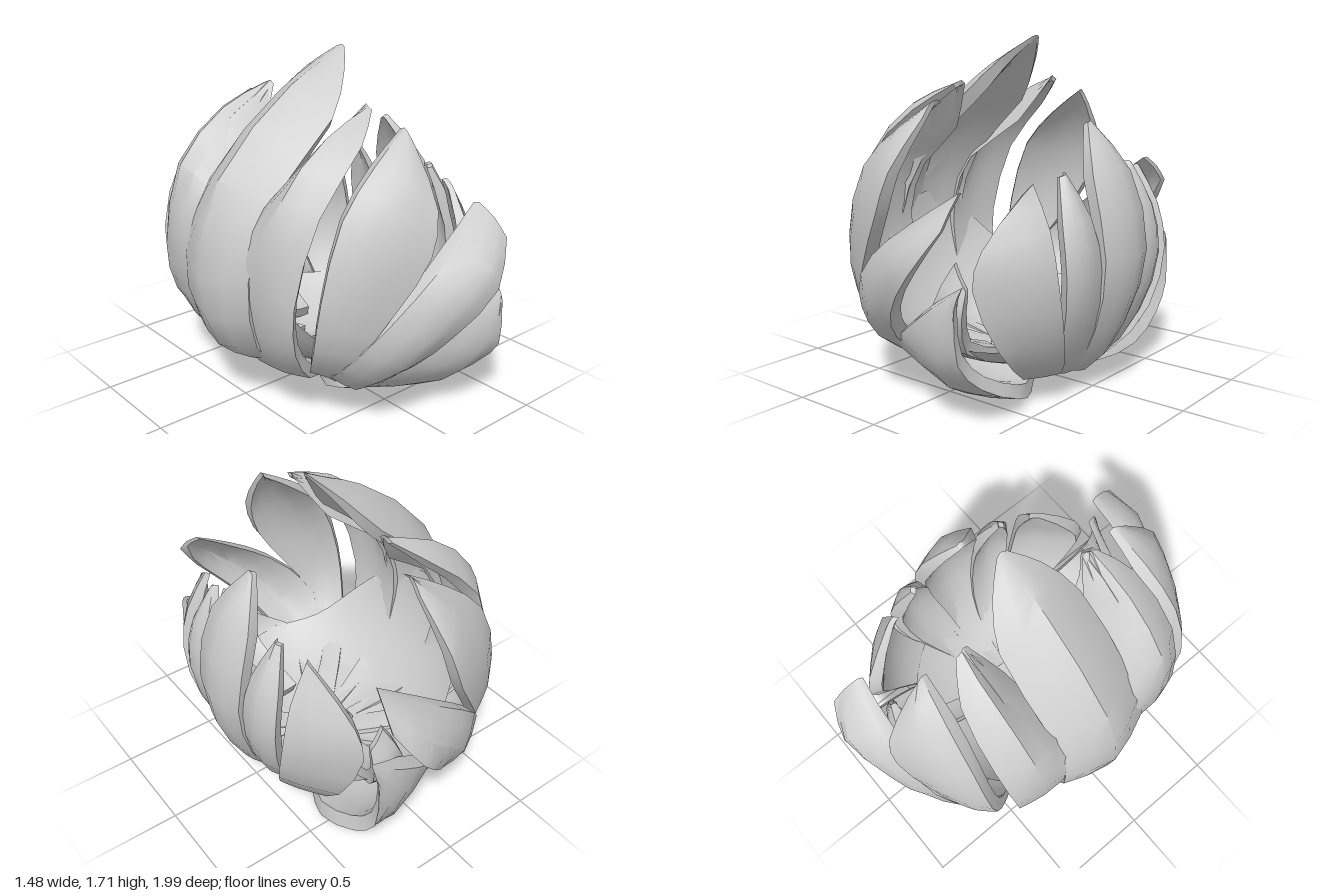
import * as THREE from 'three';
import { toCreasedNormals } from 'three/addons/utils/BufferGeometryUtils.js';

const CORE = new THREE.Vector3(0, 0.8, 0);
const ACROSS = 4;
const THICK = 0.07;

const curve = pts => new THREE.CatmullRomCurve3(pts.map(p => new THREE.Vector3(...p)));
const flipZ = pts => pts.map(([x, y, z]) => [x, y, -z]);

function makeMesh(name, pos, index) {
  const geo = new THREE.BufferGeometry();
  geo.setAttribute('position', new THREE.Float32BufferAttribute(pos, 3));
  geo.setIndex(index);
  const mesh = new THREE.Mesh(
    toCreasedNormals(geo, 0.7),
    new THREE.MeshStandardMaterial({ color: 0xcccccc, side: THREE.DoubleSide })
  );
  mesh.name = name;
  return mesh;
}

// A thick curved petal spanned by its left edge, spine and right edge, base to tip.
function petal(name, left, spine, right) {
  const rails = [left, spine, right].map(curve);
  const rows = (spine.length - 1) * 2;
  const ring = 2 * (ACROSS + 1);
  const pos = [], index = [];
  for (let k = 0; k <= rows; k++) {
    const t = k / rows;
    const section = new THREE.CatmullRomCurve3(rails.map(r => r.getPoint(t)));
    const outer = [], inner = [];
    for (let j = 0; j <= ACROSS; j++) {
      const p = section.getPoint(j / ACROSS);
      const depth = THICK * (t > 0.8 ? 1 - (t - 0.8) * 3 : 1);
      const inward = CORE.clone().sub(p).setY((CORE.y - p.y) * (p.y > CORE.y ? 0.4 : 1)).normalize();
      outer.push(p);
      inner.unshift(p.clone().addScaledVector(inward, depth));
    }
    for (const p of [...outer, ...inner]) pos.push(p.x, p.y, p.z);
  }
  for (let k = 0; k < rows; k++) {
    for (let j = 0; j < ring; j++) {
      const a = k * ring + j, b = k * ring + (j + 1) % ring;
      index.push(a, b, b + ring, a, b + ring, a + ring);
    }
  }
  // end caps
  const top = rows * ring;
  for (let j = 0; j < ACROSS; j++) {
    const o = j, o2 = j + 1, i = ring - 1 - j, i2 = ring - 2 - j;
    index.push(top + o, top + o2, top + i2, top + o, top + i2, top + i);
    index.push(o, i2, o2, o, i, i2);
  }
  return makeMesh(name, pos, index);
}

// Smooth lining inside the petals; its rim climbs behind the two middle petals.
function cup() {
  const around = 48, rows = 10, pos = [], index = [];
  for (let k = 0; k <= rows; k++) {
    for (let j = 0; j < around; j++) {
      const a = j / around * Math.PI * 2;
      const c = Math.cos(a);
      const rim = 0.32 + (c < 0 ? 0.45 : 0.15) * c ** 6;
      const v = Math.acos((0.72 - rim) / 0.62) * k / rows;
      const x = 0.64 * Math.sin(v) * c;
      pos.push(x, 0.72 - 0.62 * Math.cos(v) - 0.15 * x, 0.87 * Math.sin(v) * Math.sin(a));
      if (k < rows) {
        const p = k * around + j, q = k * around + (j + 1) % around;
        index.push(p, q + around, q, p, p + around, q + around);
      }
    }
  }
  return makeMesh('cupLining', pos, index);
}

export function createModel() {
  const group = new THREE.Group();
  group.name = 'openFlower';
  group.add(cup());

  const pair = (name, l, m, r) => group.add(
    petal(name + 'Front', l, m, r),
    petal(name + 'Back', flipZ(r), flipZ(m), flipZ(l))
  );

  // tall middle petal on the high side
  const tallEdge = [[-0.1, 0.1, 0.1], [-0.42, 0.24, 0.2], [-0.6, 0.4, 0.25], [-0.65, 0.75, 0.26],
    [-0.5, 1.1, 0.25], [-0.13, 1.43, 0.24], [0.03, 1.61, 0.14], [0.13, 1.71, 0.03]];
  group.add(petal('tallPetal', flipZ(tallEdge),
    [[-0.1, 0.08, 0], [-0.45, 0.21, 0], [-0.65, 0.34, 0], [-0.74, 0.7, 0],
      [-0.62, 1.17, 0], [-0.18, 1.56, 0], [0, 1.65, 0], [0.14, 1.72, 0]], tallEdge));

  // middle petal on the low side
  const lowEdge = [[0.2, 0.08, 0.08], [0.43, 0.1, 0.1], [0.6, 0.35, 0.14], [0.68, 0.7, 0.18],
    [0.59, 1.08, 0.16], [0.46, 1.31, 0.02]];
  group.add(petal('lowPetal', lowEdge,
    [[0.2, 0.07, 0], [0.45, 0.08, 0], [0.64, 0.33, 0], [0.735, 0.7, 0],
      [0.63, 1.12, 0], [0.46, 1.32, 0]], flipZ(lowEdge)));

  // petals beside the tall one
  pair('tallSidePetal',
    [[-0.1, 0.1, 0.03], [-0.5, 0.25, 0.12], [-0.61, 0.5, 0.17], [-0.64, 0.8, 0.19],
      [-0.52, 1.07, 0.21], [-0.2, 1.3, 0.29], [-0.03, 1.51, 0.36]],
    [[-0.1, 0.1, 0.1], [-0.48, 0.25, 0.3], [-0.61, 0.48, 0.37], [-0.64, 0.8, 0.39],
      [-0.57, 1.15, 0.4], [-0.3, 1.4, 0.4], [-0.04, 1.5, 0.385]],
    [[-0.1, 0.1, 0.18], [-0.42, 0.25, 0.42], [-0.57, 0.45, 0.5], [-0.6, 0.7, 0.53],
      [-0.48, 1.1, 0.56], [-0.2, 1.37, 0.52], [-0.04, 1.49, 0.41]]);

  // broad rear-corner petals
  pair('cornerPetal',
    [[-0.1, 0.1, 0.1], [-0.42, 0.28, 0.42], [-0.53, 0.5, 0.58], [-0.54, 0.75, 0.64],
      [-0.42, 1.1, 0.64], [-0.2, 1.3, 0.61], [0.01, 1.43, 0.57]],
    [[-0.05, 0.1, 0.15], [-0.39, 0.28, 0.5], [-0.48, 0.5, 0.66], [-0.43, 0.75, 0.73],
      [-0.3, 1.0, 0.77], [-0.13, 1.25, 0.74], [0, 1.42, 0.6]],
    [[0, 0.1, 0.2], [-0.35, 0.25, 0.52], [-0.38, 0.45, 0.71], [-0.25, 0.68, 0.81],
      [-0.1, 0.92, 0.87], [-0.04, 1.12, 0.84], [0, 1.35, 0.66]]);

  // widest side petals
  pair('sidePetal',
    [[-0.1, 0.1, 0.2], [-0.4, 0.3, 0.55], [-0.37, 0.5, 0.74], [-0.16, 0.73, 0.84],
      [0.08, 0.9, 0.84], [0.32, 1.06, 0.77]],
    [[0, 0.08, 0.2], [-0.27, 0.2, 0.58], [-0.22, 0.4, 0.82], [-0.05, 0.62, 0.93],
      [0.18, 0.83, 0.98], [0.34, 1.0, 0.85]],
    [[0.05, 0.08, 0.2], [-0.12, 0.16, 0.5], [-0.08, 0.34, 0.77], [0.03, 0.51, 0.91],
      [0.22, 0.72, 0.995], [0.35, 0.92, 0.92]]);

  // small petals tucked behind the bottom ones
  pair('innerPetal',
    [[0.04, 0.15, 0.3], [0.08, 0.3, 0.62], [0.12, 0.52, 0.74], [0.22, 0.72, 0.7]],
    [[0.1, 0.14, 0.3], [0.15, 0.29, 0.64], [0.2, 0.51, 0.76], [0.25, 0.66, 0.7]],
    [[0.16, 0.14, 0.3], [0.22, 0.28, 0.62], [0.28, 0.48, 0.72], [0.28, 0.6, 0.69]]);

  // lowest petals, curling up from underneath
  pair('bottomPetal',
    [[-0.1, 0.07, 0.1], [-0.26, 0.12, 0.35], [-0.25, 0.24, 0.62], [-0.05, 0.37, 0.76],
      [0.18, 0.53, 0.82], [0.38, 0.66, 0.83]],
    [[0.1, 0.06, 0.08], [0.16, 0.01, 0.3], [0.17, 0.07, 0.58], [0.22, 0.23, 0.81],
      [0.31, 0.43, 0.88], [0.39, 0.63, 0.87]],
    [[0.2, 0.07, 0.08], [0.33, 0.02, 0.28], [0.43, 0.08, 0.5], [0.42, 0.2, 0.75],
      [0.4, 0.34, 0.88], [0.39, 0.58, 0.89]]);

  // narrow petals beside the low one
  pair('lowSidePetal',
    [[0.2, 0.07, 0.1], [0.4, 0.11, 0.2], [0.56, 0.35, 0.34], [0.62, 0.65, 0.4],
      [0.58, 0.88, 0.38], [0.5, 1.09, 0.3]],
    [[0.2, 0.07, 0.06], [0.43, 0.1, 0.15], [0.6, 0.35, 0.24], [0.67, 0.65, 0.3],
      [0.63, 0.9, 0.3], [0.52, 1.1, 0.28]],
    [[0.2, 0.07, 0.03], [0.44, 0.1, 0.06], [0.59, 0.35, 0.1], [0.65, 0.65, 0.16],
      [0.61, 0.9, 0.2], [0.51, 1.11, 0.27]]);

  // front-corner petals
  pair('lowCornerPetal',
    [[0.15, 0.07, 0.15], [0.36, 0.12, 0.38], [0.41, 0.33, 0.62], [0.36, 0.63, 0.74],
      [0.38, 0.8, 0.7], [0.45, 1.03, 0.5]],
    [[0.2, 0.07, 0.1], [0.42, 0.12, 0.28], [0.53, 0.35, 0.48], [0.54, 0.65, 0.58],
      [0.52, 0.85, 0.55], [0.46, 1.06, 0.46]],
    [[0.2, 0.07, 0.05], [0.45, 0.12, 0.2], [0.59, 0.35, 0.37], [0.62, 0.65, 0.46],
      [0.57, 0.88, 0.46], [0.46, 1.07, 0.44]]);

  return group;
}
